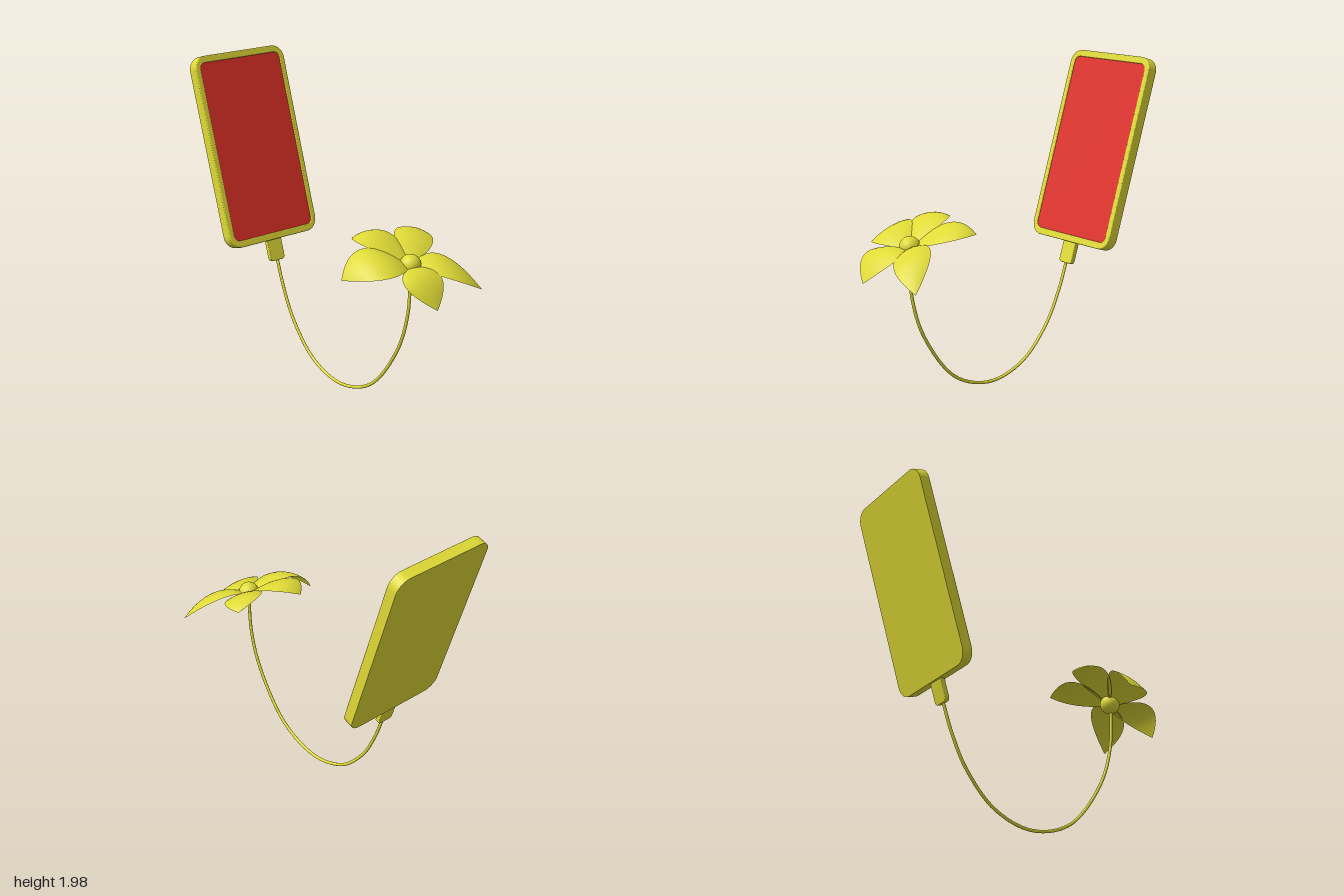
import * as THREE from 'three';
import { ParametricGeometry } from 'three/addons/geometries/ParametricGeometry.js';

const yellow = new THREE.MeshStandardMaterial({ color: 0xdfda36, side: THREE.DoubleSide });
yellow.name = 'yellow';
const red = new THREE.MeshStandardMaterial({ color: 0xdf3028 });
red.name = 'screenRed';

function add(parent, name, geometry, material) {
  const mesh = new THREE.Mesh(geometry, material);
  mesh.name = name;
  parent.add(mesh);
  return mesh;
}

// Rounded rectangle centred on the origin
function roundedRect(w, h, r, Type = THREE.Shape) {
  const s = new Type(), x = w / 2, y = h / 2;
  s.moveTo(-x + r, -y);
  s.lineTo(x - r, -y);
  s.absarc(x - r, -y + r, r, -Math.PI / 2, 0);
  s.lineTo(x, y - r);
  s.absarc(x - r, y - r, r, 0, Math.PI / 2);
  s.lineTo(-x + r, y);
  s.absarc(-x + r, y - r, r, Math.PI / 2, Math.PI);
  s.lineTo(-x, -y + r);
  s.absarc(-x + r, -y + r, r, Math.PI, Math.PI * 1.5);
  return s;
}

function slab(shape, depth, z, bevel = 0) {
  return new THREE.ExtrudeGeometry(shape, {
    depth: depth - 2 * bevel, curveSegments: 10, bevelEnabled: bevel > 0,
    bevelSize: bevel, bevelOffset: -bevel, bevelThickness: bevel, bevelSegments: 3,
  }).translate(0, 0, z + bevel);
}

// Tilted tablet with raised rim, inset screen and a plug underneath
function createTablet() {
  const g = new THREE.Group();
  g.name = 'tablet';
  const w = 0.695, h = 1.231;
  add(g, 'backShell', slab(roundedRect(w, h, 0.085), 0.058, -0.035), yellow);
  const rim = roundedRect(w, h, 0.085);
  rim.holes.push(roundedRect(0.622, 1.144, 0.04, THREE.Path));
  add(g, 'rim', slab(rim, 0.025, 0.01, 0.006), yellow);
  add(g, 'screen', slab(roundedRect(0.632, 1.154, 0.042), 0.008, 0.021), red);
  add(g, 'plug', slab(roundedRect(0.112, 0.16, 0.024), 0.032, -0.016, 0.005), yellow)
    .position.y = -h / 2 - 0.058;
  g.position.set(0.013, 1.385, -0.783);
  g.rotation.x = -0.303;
  return g;
}

// One petal stretched between two curved edges that meet at base and tip
function petalGeometry({ tip, a, b }) {
  const base = new THREE.Vector3(0, -0.015, 0);
  const end = new THREE.Vector3(...tip);
  const edge = ([x, z]) => {
    const mid = new THREE.Vector3(x, 0.03 - 0.42 * z, z);
    const control = mid.multiplyScalar(2).addScaledVector(base, -0.5).addScaledVector(end, -0.5);
    return new THREE.QuadraticBezierCurve3(base, control, end);
  };
  const ea = edge(a), eb = edge(b), pa = new THREE.Vector3(), pb = new THREE.Vector3();
  const geometry = new ParametricGeometry((u, v, target) => {
    // ease the ends so that the tip is finely rounded
    const t = (1 - Math.cos(Math.PI * u)) / 2;
    ea.getPoint(t, pa);
    eb.getPoint(t, pb);
    target.lerpVectors(pa, pb, v);
    target.y += 0.025 * 4 * v * (1 - v) * Math.sin(Math.PI * t);
  }, 20, 12);
  geometry.computeVertexNormals();
  return geometry;
}

// Five-petal pinwheel blossom tipped towards the front
function createFlower() {
  const g = new THREE.Group();
  g.name = 'flower';
  const petals = [
    { tip: [-0.125, 0.095, -0.365], a: [-0.2, -0.19], b: [0.04, -0.235] },
    { tip: [0.29, 0.085, -0.26], a: [0.075, -0.225], b: [0.255, -0.08] },
    { tip: [0.355, -0.17, 0.235], a: [0.22, 0.02], b: [0.125, 0.215] },
    { tip: [-0.06, -0.18, 0.295], a: [0.085, 0.165], b: [-0.195, 0.165] },
    { tip: [-0.39, -0.05, -0.155], a: [-0.215, -0.17], b: [-0.255, 0.085] },
  ];
  petals.forEach((p, i) => add(g, `petal${i + 1}`, petalGeometry(p), yellow));
  add(g, 'flowerCentre', new THREE.SphereGeometry(0.063, 32, 20), yellow);
  g.position.set(0.015, 0.983, 0.7);
  return g;
}

// Hanging cable that doubles as the flower stem, as [z, y] points
function createCable() {
  const points = [
    [-0.555, 0.67], [-0.497, 0.508], [-0.39, 0.3], [-0.19, 0.095], [0.075, 0.016],
    [0.36, 0.107], [0.6, 0.41], [0.688, 0.67], [0.705, 0.96],
  ].map(([z, y]) => new THREE.Vector3(0.013, y, z));
  return new THREE.TubeGeometry(new THREE.CatmullRomCurve3(points), 80, 0.01, 12);
}

export function createModel() {
  const model = new THREE.Group();
  model.name = 'flowerCharger';
  model.add(createTablet(), createFlower());
  add(model, 'cableStem', createCable(), yellow);
  return model;
}
